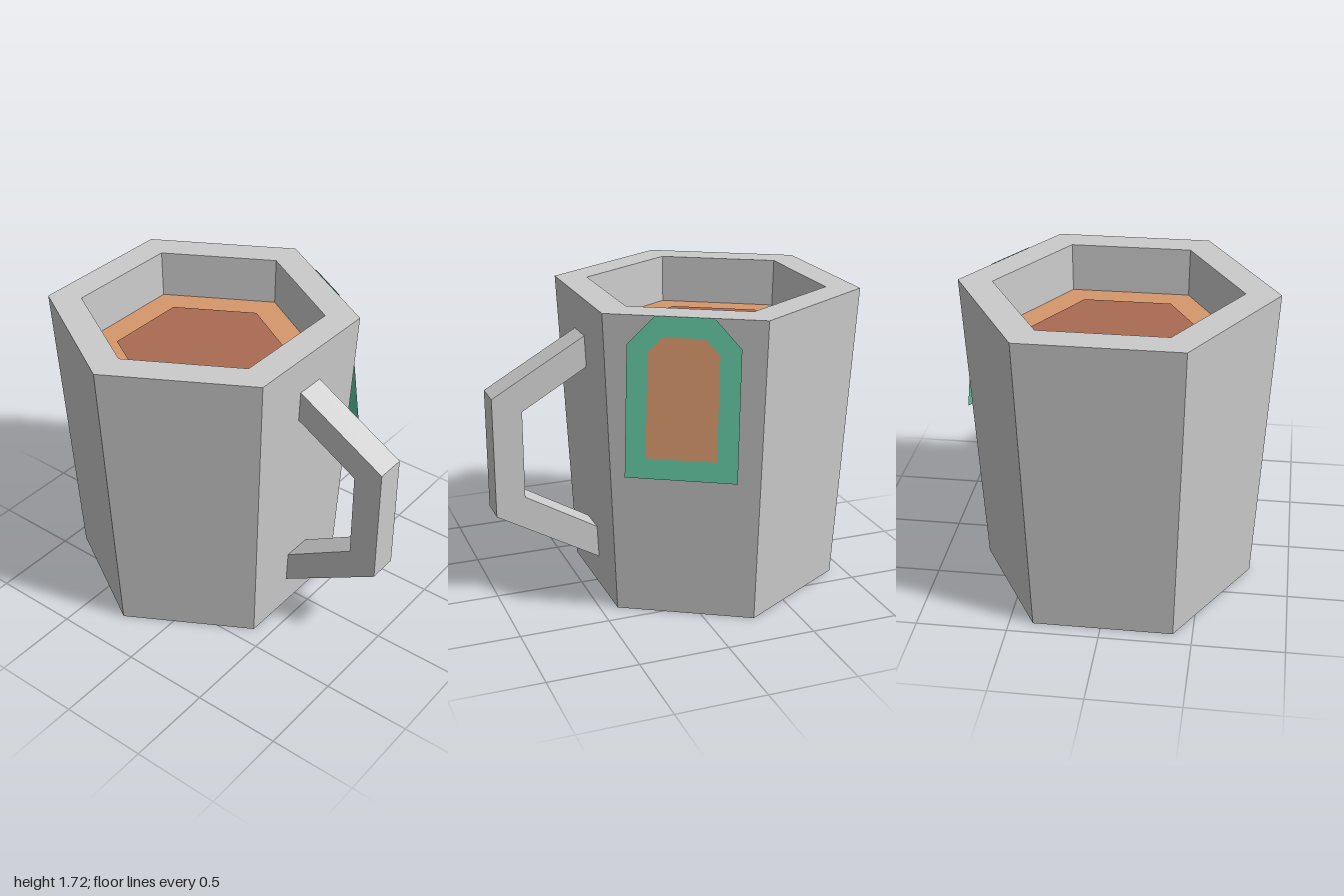
import * as THREE from 'three';

const CX = -0.257, CZ = 0.0125;   // axis of the mug
const HEIGHT = 1.72, LIQUID_Y = 1.45;

function material(color) {
  return new THREE.MeshStandardMaterial({ color, flatShading: true, side: THREE.DoubleSide });
}

function addMesh(parent, name, geometry, color) {
  const mesh = new THREE.Mesh(geometry, material(color));
  mesh.name = name;
  parent.add(mesh);
  return mesh;
}

function shapeFrom(points) {
  return new THREE.Shape(points.map(([x, y]) => new THREE.Vector2(x, y)));
}

// Horizontal hexagon with a corner towards +z
function hexagon(radius, y) {
  return new THREE.CircleGeometry(radius, 6, Math.PI / 2).rotateX(-Math.PI / 2).translate(0, y, 0);
}

// Symmetric tag outline: straight sides, clipped top corners
function tagShape(half, topHalf, bottom, shoulder, top) {
  return shapeFrom([[-half, bottom], [half, bottom], [half, shoulder],
    [topHalf, top], [-topHalf, top], [-half, shoulder]]);
}

export function createModel() {
  const model = new THREE.Group();
  model.name = 'mug';

  const body = new THREE.Group();
  body.name = 'body';
  body.position.set(CX, 0, CZ);
  model.add(body);

  // Hexagonal cup with a thick rim and hollow inside
  const profile = [[0, 0], [0.765, 0], [0.857, HEIGHT], [0.67, HEIGHT], [0.662, LIQUID_Y], [0.63, 0.15], [0, 0.15]]
    .map(([r, y]) => new THREE.Vector2(r, y));
  addMesh(body, 'cup', new THREE.LatheGeometry(profile, 6), 0xcccccc);

  // Drink with a darker centre
  addMesh(body, 'drink', hexagon(0.662, LIQUID_Y), 0xd6976c);
  addMesh(body, 'drinkCentre', hexagon(0.487, LIQUID_Y + 0.008), 0xa96b53);

  // Angular handle, its ends sunk into the wall
  const handleShape = shapeFrom([[0.38, 1.56], [1, 1.205], [1, 0.52], [0.36, 0.152],
    [0.36, 0.335], [0.835, 0.615], [0.835, 1.115], [0.38, 1.38]]);
  const handle = new THREE.ExtrudeGeometry(handleShape, { depth: 0.17, bevelEnabled: false });
  addMesh(model, 'handle', handle.translate(0, 0, -0.07), 0xcccccc);

  // Flat tag on the back right face, hanging outwards at the bottom
  const tag = new THREE.Group();
  tag.name = 'tag';
  tag.rotation.y = Math.PI * 5 / 6;
  body.add(tag);
  const addTagPart = (name, shape, color, lift) => {
    const geometry = new THREE.ShapeGeometry(shape);
    const p = geometry.attributes.position;
    for (let i = 0; i < p.count; i++) p.setZ(i, 0.748 + (HEIGHT - p.getY(i)) * 0.122 + lift);
    geometry.computeVertexNormals();
    addMesh(tag, name, geometry, color);
  };
  addTagPart('tagBorder', tagShape(0.297, 0.155, 0.87, 1.57, HEIGHT), 0x62c6a2, 0);
  addTagPart('tagCentre', tagShape(0.187, 0.11, 0.98, 1.535, 1.615), 0xd6976c, 0.004);

  return model;
}
